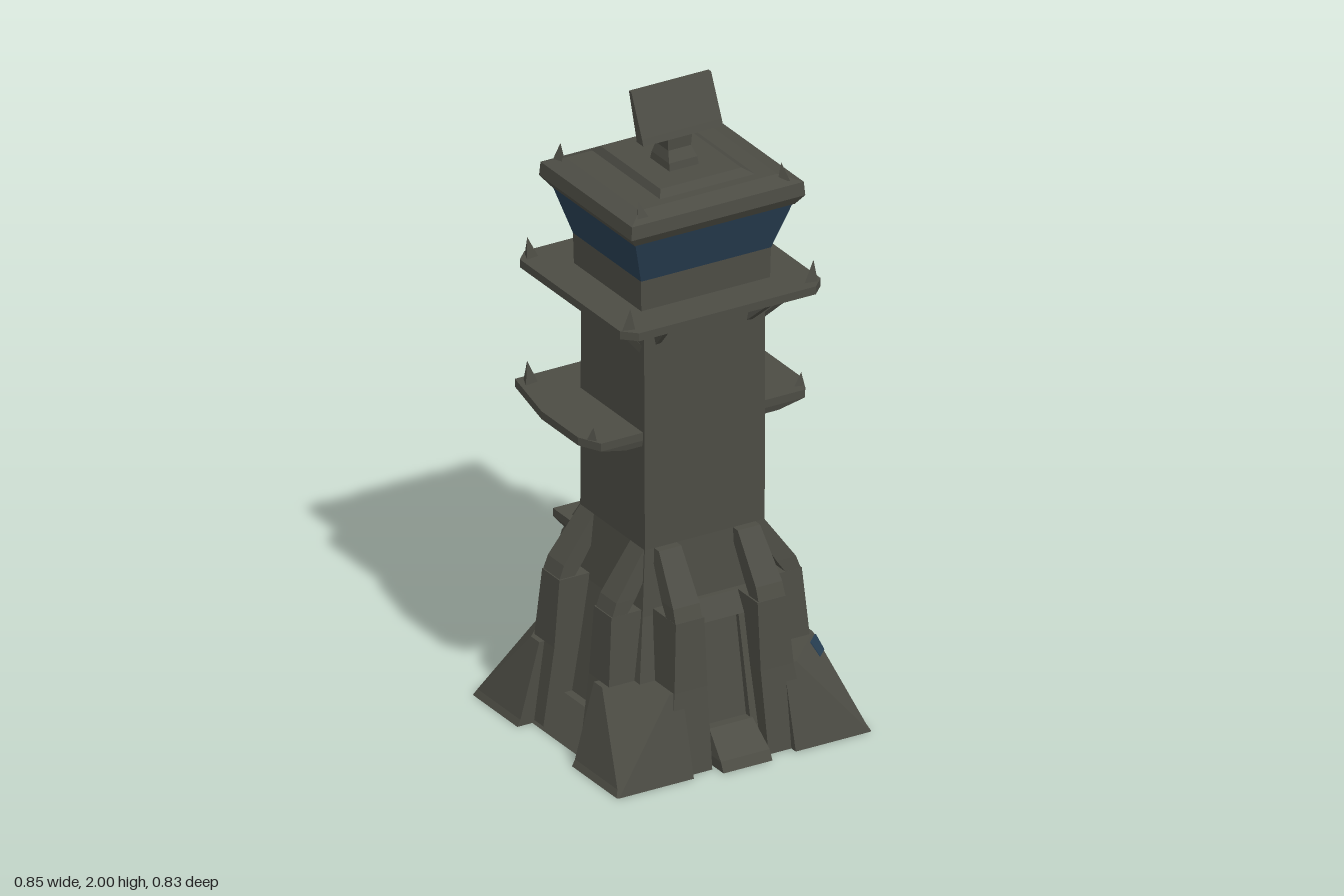
import * as THREE from 'three';

const stone = new THREE.MeshStandardMaterial({ color: 0x4c4c44 });
stone.name = 'dark olive stone';
const glass = new THREE.MeshStandardMaterial({ color: 0x273e52 });
glass.name = 'deep blue glass';

// Plan rectangle, optionally with cut corners
function rect(x0, x1, z0, z1, c = 0) {
  if (!c) return [[x0, z1], [x1, z1], [x1, z0], [x0, z0]];
  return [[x0 + c, z1], [x1 - c, z1], [x1, z1 - c], [x1, z0 + c],
    [x1 - c, z0], [x0 + c, z0], [x0, z0 + c], [x0, z1 - c]];
}

// Plan rectangle with only its outer corner cut
const cutCorner = (x0, x1, z0, z1, c) => [[x0, z1], [x1 - c, z1], [x1, z1 - c], [x1, z0], [x0, z0]];

// Faceted solid through stacked convex outlines of either direction: [[y, outline], ...]
function loft(sections) {
  const pos = [];
  const tri = (...ps) => ps.forEach(p => pos.push(...p));
  const area = sections[0][1].reduce((s, [x, z], i, l) => {
    const [u, w] = l[(i + 1) % l.length];
    return s + x * w - u * z;
  }, 0);
  const rings = sections.map(([y, pts]) => {
    const ring = pts.map(([x, z]) => [x, y, z]);
    return area > 0 ? ring.reverse() : ring;
  });
  const n = rings[0].length, top = rings[rings.length - 1], base = rings[0];
  for (let r = 0; r < rings.length - 1; r++) {
    for (let i = 0; i < n; i++) {
      const j = (i + 1) % n, a = rings[r], b = rings[r + 1];
      tri(a[i], a[j], b[j]);
      tri(a[i], b[j], b[i]);
    }
  }
  for (let i = 1; i < n - 1; i++) {
    tri(top[0], top[i], top[i + 1]);
    tri(base[0], base[i + 1], base[i]);
  }
  const g = new THREE.BufferGeometry();
  g.setAttribute('position', new THREE.Float32BufferAttribute(pos, 3));
  g.computeVertexNormals();
  return g;
}

export function createModel() {
  const model = new THREE.Group();
  model.name = 'watchtower';

  const add = (name, geometry, material = stone) => {
    const m = new THREE.Mesh(geometry, material);
    m.name = name;
    model.add(m);
    return m;
  };
  const beam = (name, a, b, w, d = w) => {
    const p = new THREE.Vector3(...a), q = new THREE.Vector3(...b);
    const m = add(name, new THREE.BoxGeometry(w, p.distanceTo(q), d));
    m.position.copy(p).lerp(q, 0.5);
    m.quaternion.setFromUnitVectors(new THREE.Vector3(0, 1, 0), q.sub(p).normalize());
  };
  const spike = (name, x, y, z, h, r, lean = 0) => {
    const g = new THREE.ConeGeometry(r, h, 3).toNonIndexed();
    g.computeVertexNormals();
    const m = add(name, g);
    m.position.set(x, y + h / 2, z);
    m.rotation.set(0, x * 7 + z * 3, lean);
  };

  // Low spreading plinth and shaft with flared foot
  add('plinth', loft([
    [0, rect(-0.375, 0.375, -0.335, 0.335)],
    [0.1, rect(-0.3, 0.3, -0.29, 0.29)],
  ]));
  add('shaft', loft([
    [0, rect(-0.29, 0.29, -0.28, 0.28)],
    [0.44, rect(-0.22, 0.22, -0.2, 0.2)],
    [0.64, rect(-0.2, 0.2, -0.175, 0.18)],
    [1.44, rect(-0.2, 0.205, -0.17, 0.175)],
  ]));

  // Corner buttresses, mirrored to all four corners
  for (const sx of [-1, 1]) for (const sz of [-1, 1]) {
    const mirror = pts => pts.map(([x, z]) => [sx * x, sz * z]);
    // Splayed foot narrowing to a cut corner
    add('buttressFoot', loft([
      [0, mirror(cutCorner(0.17, 0.425, 0.15, 0.4, 0.006))],
      [0.02, mirror(cutCorner(0.17, 0.415, 0.15, 0.395, 0.012))],
      [0.25, mirror(cutCorner(0.17, 0.352, 0.15, 0.335, 0.14))],
    ]));
    // One fin and flying strut on each of the two faces that meet here
    for (const side of [true, false]) {
      const place = (...r) => mirror(side ? rect(...r) : rect(...r).map(([x, z]) => [z - 0.006, x + 0.006]));
      add('buttressFin', loft([
        [0, place(0.1, 0.37, 0.1, 0.24)],
        [0.25, place(0.1, 0.335, 0.095, 0.205)],
        [0.46, place(0.1, 0.318, 0.095, 0.19)],
      ]));
      add('buttressStrut', loft([
        [0.45, place(0.27, 0.318, 0.1, 0.19)],
        [0.5, place(0.235, 0.3, 0.1, 0.188)],
        [0.64, place(0.15, 0.2, 0.1, 0.175)],
      ]));
    }
    // Small glazed slot on the left feet
    if (sx > 0) add('footSlot', loft([
      [0.205, mirror([[0.368, 0.232], [0.334, 0.266], [0.327, 0.259], [0.361, 0.225]])],
      [0.243, mirror([[0.358, 0.202], [0.318, 0.242], [0.311, 0.235], [0.351, 0.195]])],
    ]), glass);
  }

  // Doorways at front and back
  for (const s of [-1, 1]) {
    const q = (x0, x1, z0, z1) => rect(x0, x1, s * z0, s * z1);
    for (const [x0, x1] of [[-0.14, -0.08], [0.07, 0.14]]) {
      add('doorJamb', loft([[0, q(x0, x1, 0.1, 0.335)], [0.4, q(x0, x1, 0.1, 0.25)]]));
    }
    add('doorLintel', loft([
      [0.4, q(-0.14, 0.14, 0.1, 0.25)],
      [0.46, q(-0.135, 0.135, 0.1, 0.215)],
    ]));
    add('door', loft([[0, q(-0.08, 0.07, 0.1, 0.31)], [0.4, q(-0.08, 0.07, 0.1, 0.235)]]));
    add('doorStep', loft([
      [0, q(-0.08, 0.083, 0.2, 0.415)],
      [0.03, q(-0.08, 0.083, 0.2, 0.4)],
      [0.1, q(-0.07, 0.075, 0.2, 0.32)],
    ]));
  }

  // Low ledge on the back
  add('lowLedge', loft([
    [0.51, rect(-0.18, 0.24, -0.27, -0.15)],
    [0.54, rect(-0.2, 0.32, -0.325, -0.15)],
    [0.565, rect(-0.2, 0.32, -0.325, -0.15)],
  ]));

  // Middle ledge around the back and both sides
  const ledge = (k, zf) => [[0.34 * k, zf], [0.375 * k, 0.1], [0.375 * k, -0.1], [0.33 * k, -0.32 * k],
    [-0.33 * k, -0.32 * k], [-0.375 * k, -0.1], [-0.375 * k, 0.1], [-0.34 * k, zf]];
  add('middleLedge', loft([[0.965, ledge(0.75, 0.165)], [0.985, ledge(1, 0.17)], [1.01, ledge(1, 0.17)]]));

  // Upper gallery
  add('upperGallery', loft([
    [1.36, rect(-0.25, 0.25, -0.23, 0.22, 0.02)],
    [1.38, rect(-0.335, 0.335, -0.325, 0.305, 0.04)],
    [1.405, rect(-0.335, 0.335, -0.325, 0.305, 0.04)],
  ]));

  // Raking brackets below the ledges
  for (const s of [-1, 1]) {
    for (const z of [-0.14, 0.14]) beam('galleryBracket', [s * 0.19, 1.26, z], [s * 0.3, 1.38, z * 1.6], 0.018);
    beam('galleryBackBracket', [s * 0.13, 1.26, -0.16], [s * 0.16, 1.38, -0.28], 0.018);
    beam('galleryFrontBracket', [s * 0.15, 1.28, 0.16], [s * 0.18, 1.38, 0.27], 0.018);
    beam('middleBackBracket', [s * 0.13, 0.88, -0.16], [s * 0.16, 0.99, -0.27], 0.018);
  }

  // Broken railing stubs on the ledges and roof
  for (const s of [-1, 1]) {
    for (const z of [-0.285, 0.265]) spike('galleryStub', s * 0.305, 1.395, z, 0.075, 0.026, s * 0.15);
    spike('middleStub', s * 0.345, 1.0, 0.135, 0.05, 0.022, s * 0.15);
    spike('middleBackStub', s * 0.31, 1.0, -0.28, 0.08, 0.028, s * 0.1);
    for (const z of [-0.22, 0.215]) spike('roofStub', s * 0.24, 1.72, z, 0.055, 0.022, s * -0.2);
  }
  spike('lowLedgeStub', 0.29, 0.555, -0.3, 0.08, 0.025);

  // Control cabin: base, glazed band, roof
  add('cabinBase', loft([
    [1.4, rect(-0.215, 0.215, -0.185, 0.185)],
    [1.505, rect(-0.217, 0.217, -0.187, 0.187)],
  ]));
  add('cabinWindows', loft([
    [1.5, rect(-0.217, 0.217, -0.187, 0.187)],
    [1.66, rect(-0.267, 0.267, -0.23, 0.235)],
  ]), glass);
  add('roof', loft([
    [1.645, rect(-0.267, 0.267, -0.23, 0.235)],
    [1.675, rect(-0.29, 0.29, -0.253, 0.255)],
    [1.717, rect(-0.287, 0.287, -0.25, 0.252)],
    [1.735, rect(-0.23, 0.23, -0.205, 0.2)],
  ]));
  add('roofHatch', loft([
    [1.72, rect(-0.15, 0.2, -0.23, 0.18)],
    [1.757, rect(-0.13, 0.14, -0.18, 0.15)],
  ]));

  // Roof panel on a waisted post
  add('panelPost', loft([
    [1.74, rect(-0.05, 0.05, -0.045, 0.07)],
    [1.78, rect(-0.047, 0.047, -0.034, 0.062)],
    [1.81, rect(-0.038, 0.038, -0.028, 0.042)],
    [1.87, rect(-0.042, 0.042, 0.008, 0.045)],
  ]));
  add('panel', loft([
    [1.855, rect(-0.133, 0.133, 0.025, 0.062)],
    [1.875, rect(-0.133, 0.133, 0.02, 0.054)],
    [2.0, rect(-0.133, 0.133, -0.018, -0.004)],
  ]));
  spike('roofMarker', 0.135, 1.82, -0.115, 0.05, 0.026);

  // Ladder on the left side
  for (const z of [-0.105, -0.155]) beam('ladderRail', [0.352, 0.26, z], [0.352, 1.5, z], 0.014);
  for (let y = 0.32; y < 1.48; y += 0.08) beam('ladderRung', [0.352, y, -0.155], [0.352, y, -0.105], 0.009);
  for (const y of [0.56, 1.0, 1.39]) beam('ladderTie', [0.2, y, -0.13], [0.36, y, -0.13], 0.022, 0.05);
  for (const y of [0.28, 1.38]) spike('ladderFlake', 0.365, y, -0.13, 0.11, 0.028);

  return model;
}
